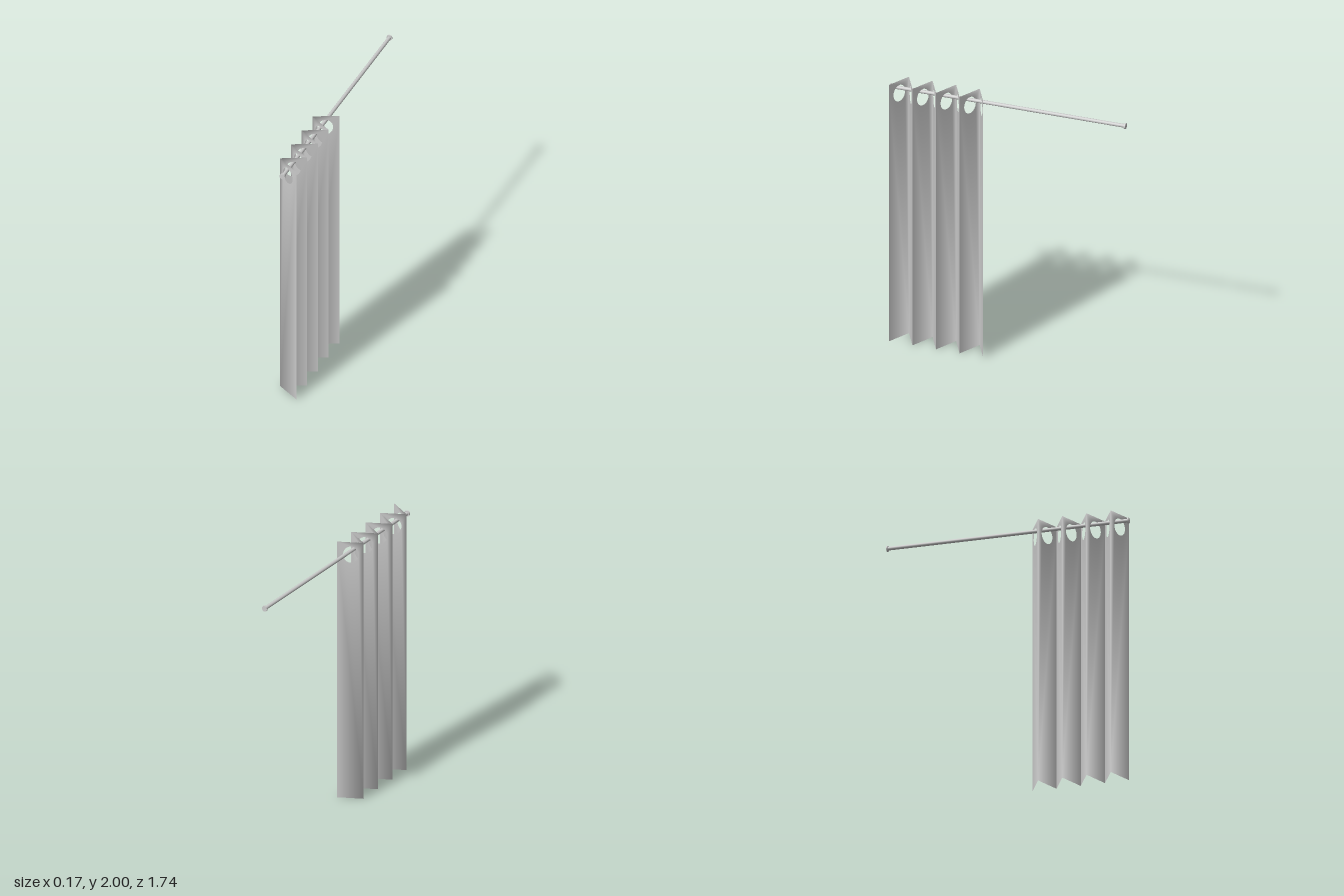
import * as THREE from 'three';

const HALF = 0.083;      // half depth of the folds along x
const PITCH = 0.174;     // distance between two outer folds
const START = 0.149;     // z of the first outer fold
const FOLDS = 4;
const ROD_X = -0.013, ROD_Y = 1.94;

// One flat panel with a grommet hole, running from an outer fold (+x) to a valley (-x).
// dir is the z direction from the outer fold towards the valley.
function panelGeometry(zOuter, dir) {
  const shape = new THREE.Shape([
    new THREE.Vector2(-HALF, 0), new THREE.Vector2(HALF, 0),
    new THREE.Vector2(HALF, 2), new THREE.Vector2(-HALF, 2)]);
  const hole = new THREE.Path();
  hole.absellipse(-0.003, 1.903, 0.048, 0.063, 0, Math.PI * 2, true);
  shape.holes.push(hole);
  const geo = new THREE.ShapeGeometry(shape, 20);
  const slope = PITCH / 2 / (2 * HALF);
  const pos = geo.attributes.position, nor = geo.attributes.normal;
  const flat = new THREE.Vector3(slope, 0, dir).normalize();
  for (let i = 0; i < pos.count; i++) {
    const x = pos.getX(i);
    pos.setZ(i, zOuter + dir * slope * (HALF - x));
    // the valley is shaded softly, the outer folds stay sharp
    if (x < -HALF + 0.001) nor.setXYZ(i, 1, 0, 0);
    else nor.setXYZ(i, flat.x, flat.y, flat.z);
  }
  if (dir < 0) geo.index.array.reverse();
  return geo;
}

export function createModel() {
  const group = new THREE.Group();
  const metal = new THREE.MeshStandardMaterial({ color: 0xcccccc });
  const cloth = new THREE.MeshStandardMaterial({ color: 0xcccccc, side: THREE.DoubleSide });

  // Pleated curtain
  const curtain = new THREE.Group();
  curtain.name = 'curtain';
  for (let i = 0; i < FOLDS; i++) {
    const z = START + i * PITCH;
    for (const [zOuter, dir] of [[z, 1], [z + PITCH, -1]]) {
      const panel = new THREE.Mesh(panelGeometry(zOuter, dir), cloth);
      panel.name = 'curtainPanel';
      curtain.add(panel);
    }
  }
  group.add(curtain);

  // Rod and its end caps
  const addBar = (name, radius, length, z) => {
    const bar = new THREE.Mesh(new THREE.CylinderGeometry(radius, radius, length, 24), metal);
    bar.name = name;
    bar.rotation.x = Math.PI / 2;
    bar.position.set(ROD_X, ROD_Y, z);
    group.add(bar);
  };
  addBar('rod', 0.013, 1.73, 0);
  for (const side of [-1, 1]) addBar('rodEndCap', 0.021, 0.01, side * 0.866);

  return group;
}
